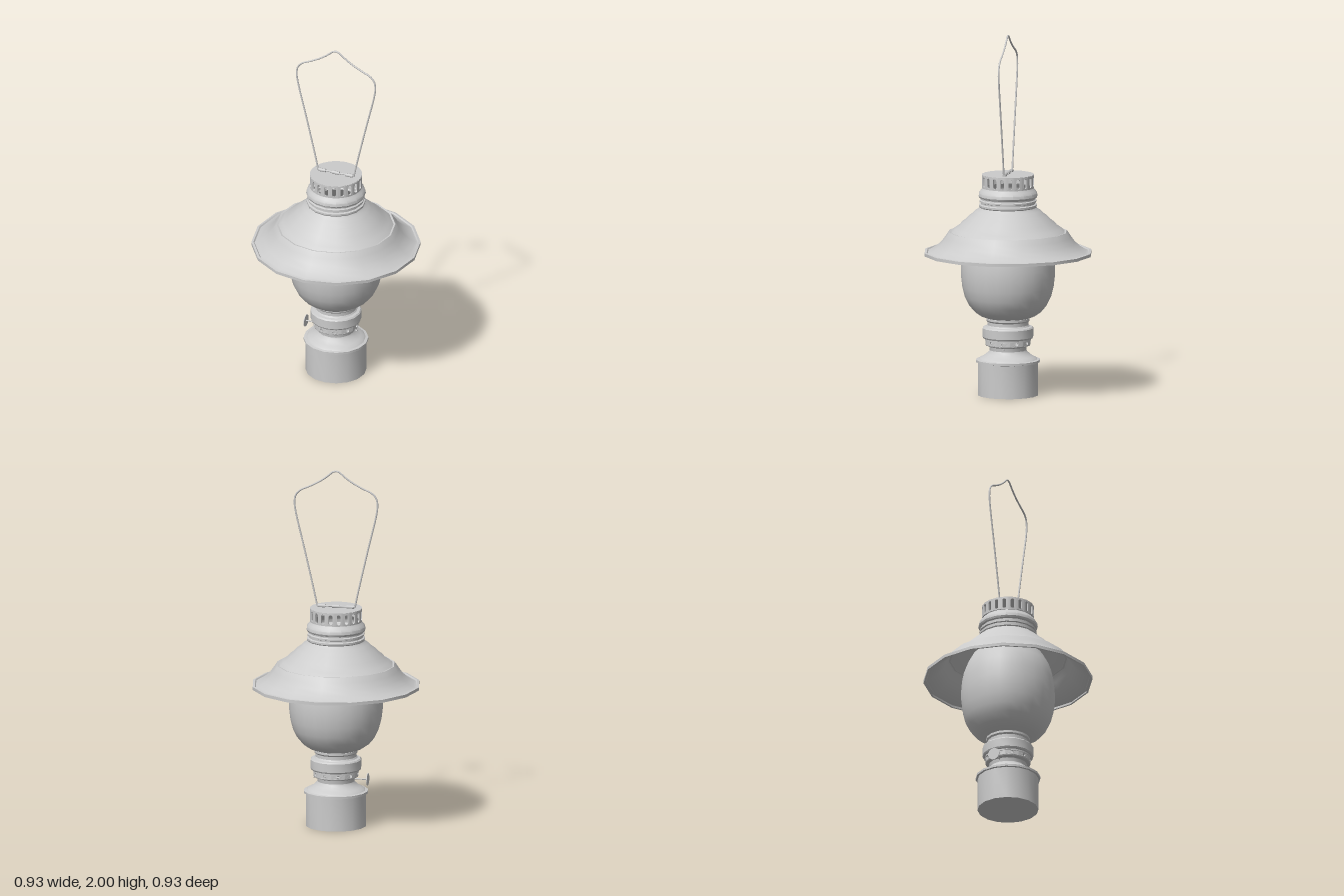
import * as THREE from 'three';
import { toCreasedNormals } from 'three/addons/utils/BufferGeometryUtils.js';

const metal = new THREE.MeshStandardMaterial({ color: 0xcccccc, side: THREE.DoubleSide });

function add(parent, name, geometry, x = 0, y = 0, z = 0) {
  const mesh = new THREE.Mesh(geometry, metal);
  mesh.name = name;
  mesh.position.set(x, y, z);
  parent.add(mesh);
  return mesh;
}

// Turned part from [radius, height] pairs, listed bottom to top
function turned(parent, name, profile, sides = 16) {
  const points = profile.map(([r, y]) => new THREE.Vector2(r, y));
  return add(parent, name, toCreasedNormals(new THREE.LatheGeometry(points, sides), 0.5));
}

// Ring of curved panels, each pierced by one rounded slot at its middle
function piercedRing(parent, name, { radius, y, height, count, offset, slotW, slotH }) {
  const ring = new THREE.Group();
  ring.name = name;
  const w = (Math.PI * 2 * radius) / count / 2, h = height / 2;
  const shape = new THREE.Shape([
    [-w, -h], [-w / 2, -h], [0, -h], [w / 2, -h], [w, -h],
    [w, h], [w / 2, h], [0, h], [-w / 2, h], [-w, h],
  ].map(([a, b]) => new THREE.Vector2(a, b)));
  const r = slotW / 2, s = slotH / 2 - r;
  const hole = new THREE.Path();
  hole.absarc(0, s, r, 0, Math.PI, false);
  hole.absarc(0, -s, r, Math.PI, Math.PI * 2, false);
  shape.holes.push(hole);
  const panel = new THREE.ExtrudeGeometry(shape, { depth: 0.008, bevelEnabled: false, curveSegments: 6 });
  // Bend the flat panel about the vertical axis
  const p = panel.attributes.position;
  for (let i = 0; i < p.count; i++) {
    const angle = p.getX(i) / radius, d = radius - 0.008 + p.getZ(i);
    p.setXYZ(i, Math.sin(angle) * d, p.getY(i), Math.cos(angle) * d);
  }
  const geometry = toCreasedNormals(panel, 0.5);
  for (let i = 0; i < count; i++) {
    add(ring, name + 'Panel', geometry, 0, y, 0).rotation.y = ((i + offset) / count) * Math.PI * 2;
  }
  parent.add(ring);
}

export function createModel() {
  const lamp = new THREE.Group();
  lamp.name = 'oilLamp';

  // Fuel tank with a lipped lid and a stepped shoulder
  turned(lamp, 'fuelTank', [
    [0, 0], [0.168, 0], [0.168, 0.183], [0.178, 0.185], [0.178, 0.197], [0.163, 0.2],
    [0.155, 0.208], [0.138, 0.215], [0.118, 0.23], [0.106, 0.242], [0.102, 0.25],
    [0.105, 0.27], [0.122, 0.276], [0.125, 0.282],
  ]);

  // Burner with air holes and the gallery that carries the globe
  piercedRing(lamp, 'airRing', {
    radius: 0.124, y: 0.295, height: 0.028, count: 10, offset: 0.5, slotW: 0.018, slotH: 0.018,
  });
  turned(lamp, 'gallery', [
    [0.115, 0.304], [0.128, 0.306], [0.128, 0.314], [0.136, 0.316], [0.141, 0.324],
    [0.141, 0.372], [0.135, 0.379], [0.12, 0.382], [0.114, 0.39], [0.114, 0.408],
    [0.121, 0.416], [0.121, 0.428], [0.11, 0.431],
  ]);

  // Wick adjuster: spindle through the burner with a thin wheel
  add(lamp, 'wickSpindle', new THREE.CylinderGeometry(0.004, 0.004, 0.305, 8), -0.0275, 0.265, 0).rotation.z = Math.PI / 2;
  add(lamp, 'wickWheel', new THREE.CylinderGeometry(0.034, 0.034, 0.004, 16), -0.178, 0.265, 0).rotation.z = Math.PI / 2;

  // Glass globe
  turned(lamp, 'globe', [
    [0.116, 0.428], [0.15, 0.44], [0.185, 0.464], [0.215, 0.5], [0.237, 0.545], [0.251, 0.6],
    [0.258, 0.66], [0.258, 0.71], [0.253, 0.77], [0.243, 0.82], [0.225, 0.87], [0.195, 0.925],
  ], 24);

  // Faceted shade with a rolled rim and a raised step
  turned(lamp, 'shade', [
    [0.455, 0.78], [0.465, 0.78], [0.465, 0.797], [0.453, 0.799], [0.447, 0.793], [0.435, 0.797],
    [0.4, 0.818], [0.37, 0.846], [0.347, 0.878], [0.331, 0.902], [0.326, 0.908], [0.316, 0.906],
    [0.295, 0.924], [0.272, 0.939], [0.255, 0.958], [0.235, 0.973], [0.215, 0.994],
    [0.195, 1.008], [0.18, 1.024], [0.163, 1.034], [0.155, 1.045],
  ]);

  // Ribbed collar
  turned(lamp, 'collar', [
    [0.155, 1.04], [0.161, 1.048], [0.161, 1.058], [0.15, 1.062], [0.15, 1.07], [0.158, 1.073],
    [0.158, 1.082], [0.15, 1.086], [0.15, 1.093], [0.159, 1.097], [0.164, 1.106],
    [0.162, 1.122], [0.152, 1.136], [0.142, 1.146], [0.138, 1.153],
  ]);

  // Vented cap
  piercedRing(lamp, 'ventRing', {
    radius: 0.144, y: 1.187, height: 0.072, count: 20, offset: 0, slotW: 0.021, slotH: 0.056,
  });
  add(lamp, 'capTop', new THREE.CylinderGeometry(0.144, 0.144, 0.006, 20), 0, 1.222, 0);

  // Wire bail: one half as points, mirrored across x
  const half = [
    [0.107, 1.236], [0.12, 1.3], [0.175, 1.54], [0.228, 1.765], [0.233, 1.81], [0.226, 1.852],
    [0.2, 1.88], [0.15, 1.903], [0.09, 1.935], [0.045, 1.967], [0.018, 1.99],
  ];
  const path = [
    ...half, [0, 1.995], ...half.map(([x, y]) => [-x, y]).reverse(),
  ].map(([x, y]) => new THREE.Vector3(x, y, 0));
  add(lamp, 'bail', new THREE.TubeGeometry(new THREE.CatmullRomCurve3(path), 90, 0.005, 8));
  add(lamp, 'bailCrossbar', new THREE.CylinderGeometry(0.005, 0.005, 0.218, 8), 0, 1.233, 0).rotation.z = Math.PI / 2;

  // Clips holding the crossbar on the cap
  for (const x of [-0.081, 0, 0.081]) {
    const clip = new THREE.CylinderGeometry(0.01, 0.01, 0.041, 8);
    add(lamp, 'bailClip', clip, x, 1.232, 0).rotation.z = Math.PI / 2;
  }

  return lamp;
}
